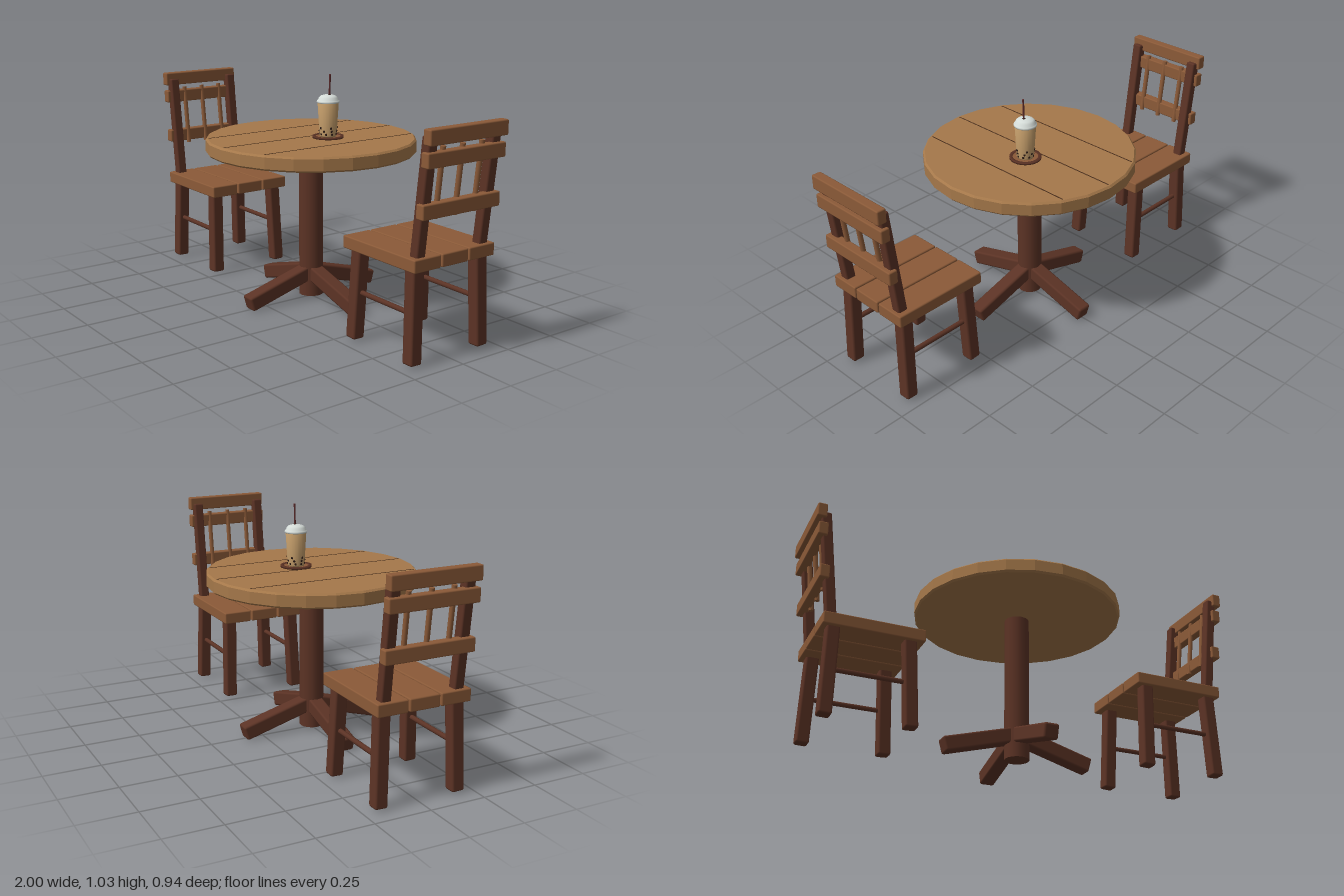
import * as THREE from 'three';
import { RoundedBoxGeometry } from 'three/addons/geometries/RoundedBoxGeometry.js';

const mat = (color, opts = {}) => new THREE.MeshStandardMaterial({ color, ...opts });
const darkWood = mat(0x5c3325);
const seatWood = mat(0x8b5a38);
const topWood = mat(0xa5784a, { flatShading: true });
const grooveMat = mat(0x4a2f1c);
const teaMat = mat(0xc09a68);
const pearlMat = mat(0x2a1a14);
const lidMat = mat(0xd5dcd8);
const strawMat = mat(0x5a2a2a);

const v = (x, y, z) => new THREE.Vector3(x, y, z);
const UP = v(0, 1, 0);

function add(parent, name, geometry, material, x = 0, y = 0, z = 0) {
  const mesh = new THREE.Mesh(geometry, material);
  mesh.name = name;
  mesh.position.set(x, y, z);
  parent.add(mesh);
  return mesh;
}

// Bevelled box given by its size and centre
const block = (parent, name, w, h, d, material, x, y, z, bevel = 0.006) =>
  add(parent, name, new RoundedBoxGeometry(w, h, d, 1, bevel), material, x, y, z);

// Straight bar between two points: square with bevels, or round when sides > 0
function bar(parent, name, a, b, width, material, sides = 0) {
  const dir = b.clone().sub(a);
  const len = dir.length();
  const geo = sides
    ? new THREE.CylinderGeometry(width / 2, width / 2, len, sides)
    : new RoundedBoxGeometry(width, len, width, 1, width * 0.16);
  const mesh = add(parent, name, geo, material);
  mesh.position.copy(a).add(b).multiplyScalar(0.5);
  mesh.quaternion.setFromUnitVectors(UP, dir.normalize());
  return mesh;
}

const lathe = (pts, sides) =>
  new THREE.LatheGeometry(pts.map(([r, y]) => new THREE.Vector2(r, y)), sides);

function createTable() {
  const table = new THREE.Group();
  table.name = 'table';
  add(table, 'tableTop', lathe([[0, 0.69], [0.462, 0.69], [0.47, 0.698], [0.47, 0.747], [0.462, 0.755], [0, 0.755]], 24), topWood);

  // Seams between the planks of the top
  for (const x of [-0.22, 0, 0.22]) {
    const length = 2 * Math.sqrt(0.455 ** 2 - x * x);
    add(table, 'plankSeam', new THREE.BoxGeometry(0.005, 0.002, length), grooveMat, x, 0.755, 0);
  }

  add(table, 'column', new THREE.CylinderGeometry(0.055, 0.055, 0.675, 16), darkWood, 0, 0.3575, 0);

  // Four sloping feet
  for (let i = 0; i < 4; i++) {
    const pivot = new THREE.Group();
    pivot.name = 'foot';
    pivot.rotation.y = i * Math.PI / 2;
    const foot = block(pivot, 'footBeam', 0.33, 0.067, 0.068, darkWood, 0.185, 0.0815, 0, 0.01);
    foot.rotation.z = -0.275;
    table.add(pivot);
  }
  return table;
}

// Chair on the +x side, facing the table
function createChair(name) {
  const chair = new THREE.Group();
  chair.name = name;
  for (const z of [-0.142, 0, 0.142]) {
    block(chair, 'seatPlank', 0.435, 0.054, 0.136, seatWood, 0.7225, 0.423, z);
  }
  for (const s of [-1, 1]) {
    bar(chair, 'frontLeg', v(0.547, 0.016, s * 0.177), v(0.565, 0.41, s * 0.165), 0.056, darkWood);
    bar(chair, 'backLeg', v(0.9, 0.016, s * 0.177), v(0.89, 0.41, s * 0.165), 0.056, darkWood);
    bar(chair, 'sideStretcher', v(0.555, 0.217, s * 0.171), v(0.895, 0.217, s * 0.171), 0.022, darkWood, 8);
    bar(chair, 'backPost', v(0.899, 0.42, s * 0.164), v(0.957, 0.92, s * 0.164), 0.044, darkWood);
  }
  // Back rails: [x, y, height]
  for (const [x, y, h] of [[0.978, 0.92, 0.062], [0.968, 0.833, 0.06], [0.947, 0.635, 0.06]]) {
    block(chair, 'backRail', 0.042, h, 0.4, seatWood, x, y, 0);
  }
  for (const z of [-0.1, 0, 0.1]) {
    bar(chair, 'spindle', v(0.925, 0.595, z), v(0.958, 0.877, z), 0.022, seatWood, 8);
  }
  return chair;
}

function createDrink() {
  const drink = new THREE.Group();
  drink.name = 'drink';
  drink.position.set(0.07, 0.755, -0.042);

  // Coaster with a raised dark rim
  add(drink, 'coaster', new THREE.CylinderGeometry(0.06, 0.06, 0.006, 24), seatWood, 0, 0.003, 0);
  add(drink, 'coasterRim', lathe([[0.056, 0], [0.07, 0], [0.07, 0.009], [0.056, 0.009], [0.056, 0]], 24), darkWood);

  add(drink, 'cup', lathe([[0, 0.006], [0.036, 0.006], [0.038, 0.012], [0.047, 0.16], [0, 0.16]], 20), teaMat);

  // Pearls showing through the lower wall, in staggered rows
  for (let row = 0; row < 3; row++) {
    const count = 9 - row * 2;
    const y = 0.018 + row * 0.014;
    const r = 0.0355 + row * 0.001;
    for (let i = 0; i < count; i++) {
      const a = (i + row * 0.5) / count * Math.PI * 2;
      add(drink, 'pearl', new THREE.SphereGeometry(0.006, 8, 6), pearlMat, Math.sin(a) * r, y, Math.cos(a) * r);
    }
  }

  // Lid with a rolled rim and shallow dome
  add(drink, 'lid', lathe([[0, 0.156], [0.049, 0.156], [0.051, 0.161], [0.049, 0.166], [0.045, 0.168], [0.042, 0.178], [0.034, 0.186], [0.018, 0.191], [0, 0.192]], 20), lidMat);
  add(drink, 'strawHole', new THREE.CylinderGeometry(0.007, 0.007, 0.003, 10), pearlMat, 0.009, 0.191, 0);
  bar(drink, 'straw', v(0.004, 0.06, 0), v(0.013, 0.282, 0), 0.008, strawMat, 8);
  return drink;
}

export function createModel() {
  const model = new THREE.Group();
  model.name = 'tableSet';
  const rightChair = createChair('rightChair');
  rightChair.rotation.y = Math.PI;
  model.add(createTable(), createChair('leftChair'), rightChair, createDrink());
  return model;
}
